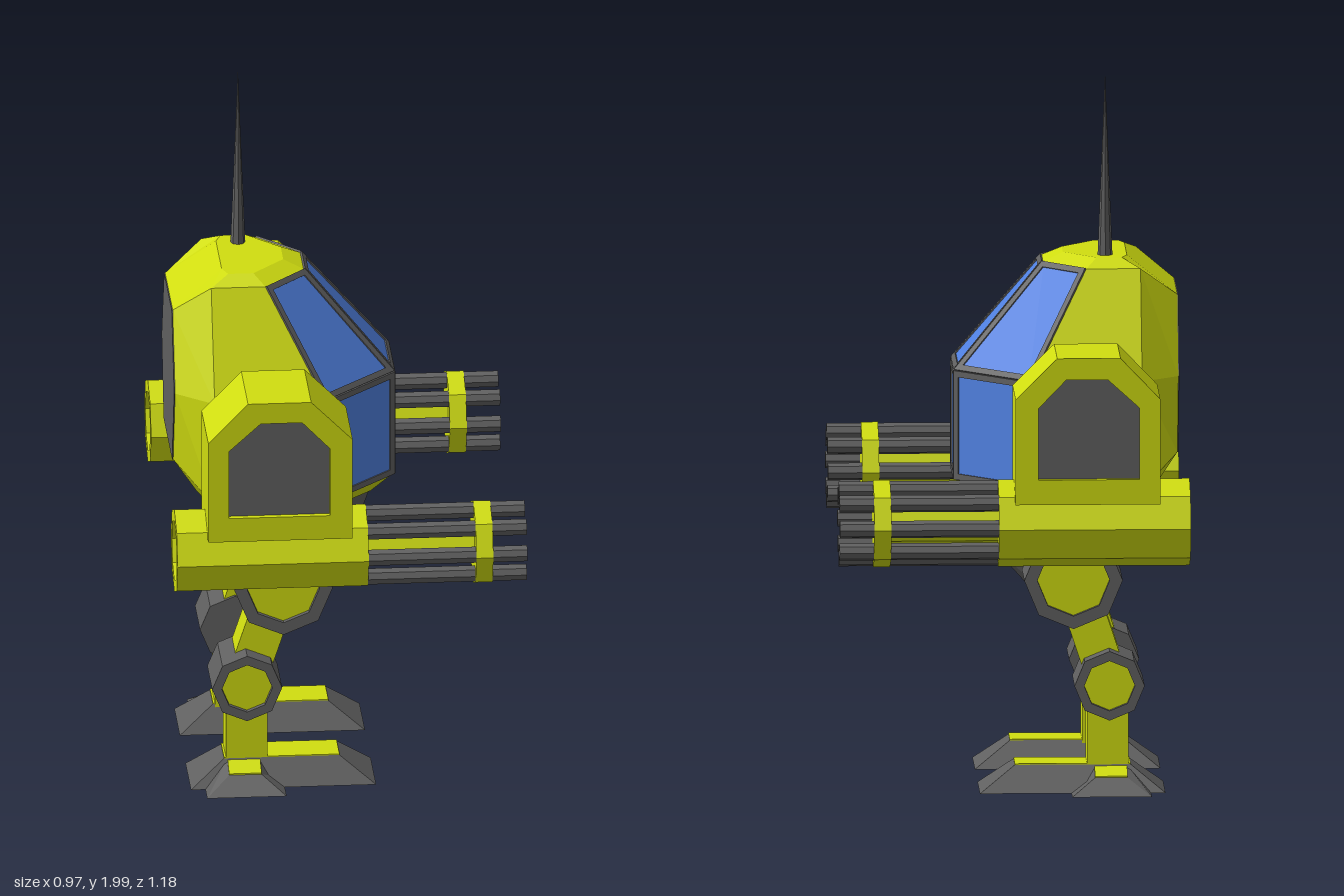
import * as THREE from 'three';

const paint = (color) => new THREE.MeshStandardMaterial({ color, flatShading: true });
const yellow = paint(0xd0dd10), grey = paint(0x606060), blue = paint(0x5080e0);

function add(parent, name, geometry, material, x = 0, y = 0, z = 0) {
  const mesh = new THREE.Mesh(geometry, material);
  mesh.name = name;
  mesh.position.set(x, y, z);
  parent.add(mesh);
  return mesh;
}

// Skin over rings of corners, each clockwise as seen from the last ring's side
function loft(rings, startCap = true, endCap = true) {
  const pos = [], n = rings[0].length;
  const tri = (...corners) => corners.forEach((c) => pos.push(...c));
  for (let i = 0; i + 1 < rings.length; i++) {
    const r = rings[i], s = rings[i + 1];
    for (let k = 0; k < n; k++) {
      const m = (k + 1) % n;
      tri(r[k], s[k], s[m]);
      tri(r[k], s[m], r[m]);
    }
  }
  const last = rings[rings.length - 1];
  for (let k = 1; k + 1 < n; k++) {
    if (startCap) tri(rings[0][0], rings[0][k], rings[0][k + 1]);
    if (endCap) tri(last[0], last[k + 1], last[k]);
  }
  const g = new THREE.BufferGeometry();
  g.setAttribute('position', new THREE.Float32BufferAttribute(pos, 3));
  g.computeVertexNormals();
  return g;
}

// Complete a half ring (front to back at +z) with its mirror image
const mirror = (half) => [...half, ...half.map(([x, y, z]) => [x, y, -z]).reverse()];
// Level rectangle in loft order
const rect = (y, x0, x1, z0, z1) => [[x1, y, z0], [x1, y, z1], [x0, y, z1], [x0, y, z0]];

// Raised frame with a sunken pane over one four-cornered face
function addWindow(parent, corners) {
  const p = corners.map((c) => new THREE.Vector3(...c));
  const normal = p[2].clone().sub(p[0]).cross(p[1].clone().sub(p[0])).normalize();
  const inset = p.map((v, i) => {
    const a = p[(i + 1) % 4].clone().sub(v).normalize();
    const b = p[(i + 3) % 4].clone().sub(v).normalize();
    const width = 0.017 / a.clone().cross(b).length();
    return v.clone().addScaledVector(a.add(b), width);
  });
  const lift = (pts, d) => pts.map((v) => v.clone().addScaledVector(normal, d).toArray());
  add(parent, 'windowFrame', loft([lift(p, 0), lift(p, 0.006), lift(inset, 0.006), lift(inset, 0)], false, false), grey);
  add(parent, 'windowPane', loft([lift(inset, 0), lift(inset, 0.002)]), blue);
}

// Octagonal drum along y with a recessed disc in its top end
function drum(name, r, rim, from, to, shell, disc) {
  const g = new THREE.Group();
  g.name = name;
  const profile = [[0, from], [r, from], [r, to], [rim, to], [rim, to - 0.03]];
  add(g, name + 'Shell', new THREE.LatheGeometry(profile.map((p) => new THREE.Vector2(...p)), 8), shell);
  add(g, name + 'Disc', new THREE.CylinderGeometry(rim, rim, 0.01, 8), disc, 0, to - 0.02, 0);
  return g;
}

const outline = (points) => points.map((p) => new THREE.Vector2(...p));
const extrude = (shape, depth) => new THREE.ExtrudeGeometry(shape, { depth, bevelEnabled: false });

function createBody() {
  const body = new THREE.Group();
  body.name = 'body';
  const rings = [
    [[0.09, 0.79, 0.08], [-0.07, 0.79, 0.235], [-0.34, 0.79, 0.235], [-0.4, 0.83, 0.13]],
    [[0.15, 0.85, 0.105], [-0.055, 0.85, 0.305], [-0.36, 0.85, 0.305], [-0.463, 0.93, 0.15]],
    [[0.15, 1.155, 0.105], [-0.055, 1.155, 0.305], [-0.36, 1.155, 0.305], [-0.463, 1.155, 0.22]],
    [[-0.095, 1.45, 0.06], [-0.21, 1.45, 0.18], [-0.36, 1.45, 0.18], [-0.463, 1.37, 0.135]],
    [[-0.15, 1.475, 0.045], [-0.24, 1.475, 0.14], [-0.31, 1.475, 0.14], [-0.325, 1.475, 0.1]],
  ].map(mirror);
  add(body, 'cabinShell', loft(rings), yellow);

  // Six panes: front and both diagonals, in two rows
  for (const row of [1, 2]) {
    for (const k of [6, 7, 0]) {
      const m = (k + 1) % 8, low = rings[row], high = rings[row + 1];
      addWindow(body, [low[k], low[m], high[m], high[k]]);
    }
  }

  // Flat rear panel
  const back = [rings[1][3], rings[2][3], rings[3][3], rings[3][4], rings[2][4], rings[1][4]].reverse();
  const shift = (d) => back.map(([x, y, z]) => [x + d, y, z]);
  add(body, 'rearPanel', loft([shift(0), shift(-0.003)].map((r) => r.reverse())), grey).material = grey.clone();
  body.getObjectByName('rearPanel').material.side = THREE.DoubleSide;

  // Keel tapering down between the hips
  add(body, 'pelvis', loft([
    [[-0.08, 0.51, 0.035], [-0.12, 0.51, 0.095], [-0.23, 0.51, 0.095], [-0.26, 0.51, 0.035]],
    [[0.045, 0.65, 0.035], [-0.02, 0.65, 0.095], [-0.26, 0.65, 0.095], [-0.31, 0.65, 0.035]],
    [[0.085, 0.79, 0.078], [-0.072, 0.79, 0.232], [-0.338, 0.79, 0.232], [-0.39, 0.82, 0.128]],
  ].map(mirror)), grey);

  add(body, 'antenna', new THREE.ConeGeometry(0.021, 0.53, 8), grey, -0.265, 1.725, -0.09);
  return body;
}

function createArm() {
  const arm = new THREE.Group();
  arm.name = 'arm';
  add(arm, 'shoulder', extrude(new THREE.Shape(outline([
    [-0.35, 0.96], [-0.08, 0.96], [-0.08, 1.13], [-0.115, 1.21], [-0.285, 1.21], [-0.35, 1.13],
  ])), 0.15), grey, 0, 0, 0.22);

  // Pod with a recessed outer panel
  const pod = [[-0.4, 0.86], [0, 0.86], [0, 1.155], [-0.115, 1.27], [-0.29, 1.27], [-0.4, 1.155]];
  const panel = [[-0.343, 0.93], [-0.063, 0.93], [-0.063, 1.13], [-0.14, 1.21], [-0.255, 1.21], [-0.343, 1.13]];
  const face = new THREE.Shape(outline(pod));
  face.holes.push(new THREE.Path(outline(panel)));
  add(arm, 'podCore', extrude(new THREE.Shape(outline(pod)), 0.215), yellow, 0, 0, 0.35);
  add(arm, 'podRim', extrude(face, 0.025), yellow, 0, 0, 0.565);
  add(arm, 'podPanel', extrude(new THREE.Shape(outline(panel)), 0.01), grey, 0, 0, 0.563);

  // Rotary gun pointing along +x
  const gun = new THREE.Group();
  gun.name = 'gun';
  gun.position.set(0, 0.79, 0.47);
  const housing = drum('gunHousing', 0.122, 0.088, -0.045, 0.485, yellow, grey);
  housing.rotation.z = Math.PI / 2;
  gun.add(housing);
  const rod = (name, r, x0, x1, material, y = 0, z = 0) => {
    const geometry = new THREE.CylinderGeometry(r, r, x1 - x0, 8);
    add(gun, name, geometry, material, (x0 + x1) / 2, y, z).rotation.z = -Math.PI / 2;
  };
  rod('gunCore', 0.06, 0.04, 0.36, yellow);
  rod('barrelBand', 0.122, 0.343, 0.39, yellow);
  for (let i = 0; i < 8; i++) {
    const a = (i * Math.PI) / 4;
    rod('barrel', 0.024, 0.04, 0.485, grey, 0.095 * Math.cos(a), 0.095 * Math.sin(a));
  }
  arm.add(gun);
  return arm;
}

function createLeg() {
  const leg = new THREE.Group();
  leg.name = 'leg';
  const joint = (name, r, rim, x, y, z0, z1) => {
    const d = drum(name, r, rim, z0, z1, grey, yellow);
    d.rotation.x = Math.PI / 2;
    d.position.set(x, y, 0);
    leg.add(d);
  };
  joint('hip', 0.136, 0.1, -0.17, 0.6, 0.13, 0.315);
  joint('knee', 0.097, 0.07, -0.27, 0.302, 0.13, 0.305);
  add(leg, 'upperLeg', new THREE.BoxGeometry(0.11, 0.32, 0.11), yellow, -0.22, 0.45, 0.195).rotation.z = -0.32;
  add(leg, 'lowerLeg', new THREE.BoxGeometry(0.115, 0.24, 0.11), yellow, -0.267, 0.18, 0.195);

  // Long foot with yellow top plate, and a splayed outer toe
  add(leg, 'foot', loft([rect(0, -0.425, 0.088, 0.1, 0.295), rect(0.073, -0.33, -0.01, 0.145, 0.25)]), grey);
  add(leg, 'footPlate', loft([rect(0.07, -0.33, -0.01, 0.145, 0.25), rect(0.076, -0.33, -0.01, 0.145, 0.25)]), yellow);
  const toeTop = (lift) => [[-0.23, 0.07 + lift, 0.24], [-0.23, 0.045 + lift, 0.305],
    [-0.32, 0.045 + lift, 0.305], [-0.32, 0.07 + lift, 0.24]];
  add(leg, 'toe', loft([rect(0, -0.385, -0.165, 0.22, 0.36), toeTop(0)]), grey);
  add(leg, 'toePlate', loft([toeTop(0), toeTop(0.004)]), yellow);
  return leg;
}

export function createModel() {
  const model = new THREE.Group();
  model.name = 'walker';
  model.add(createBody());
  for (const side of [1, -1]) {
    const half = new THREE.Group();
    half.name = side > 0 ? 'leftLimbs' : 'rightLimbs';
    half.add(createArm(), createLeg());
    half.scale.z = side;
    model.add(half);
  }
  return model;
}
